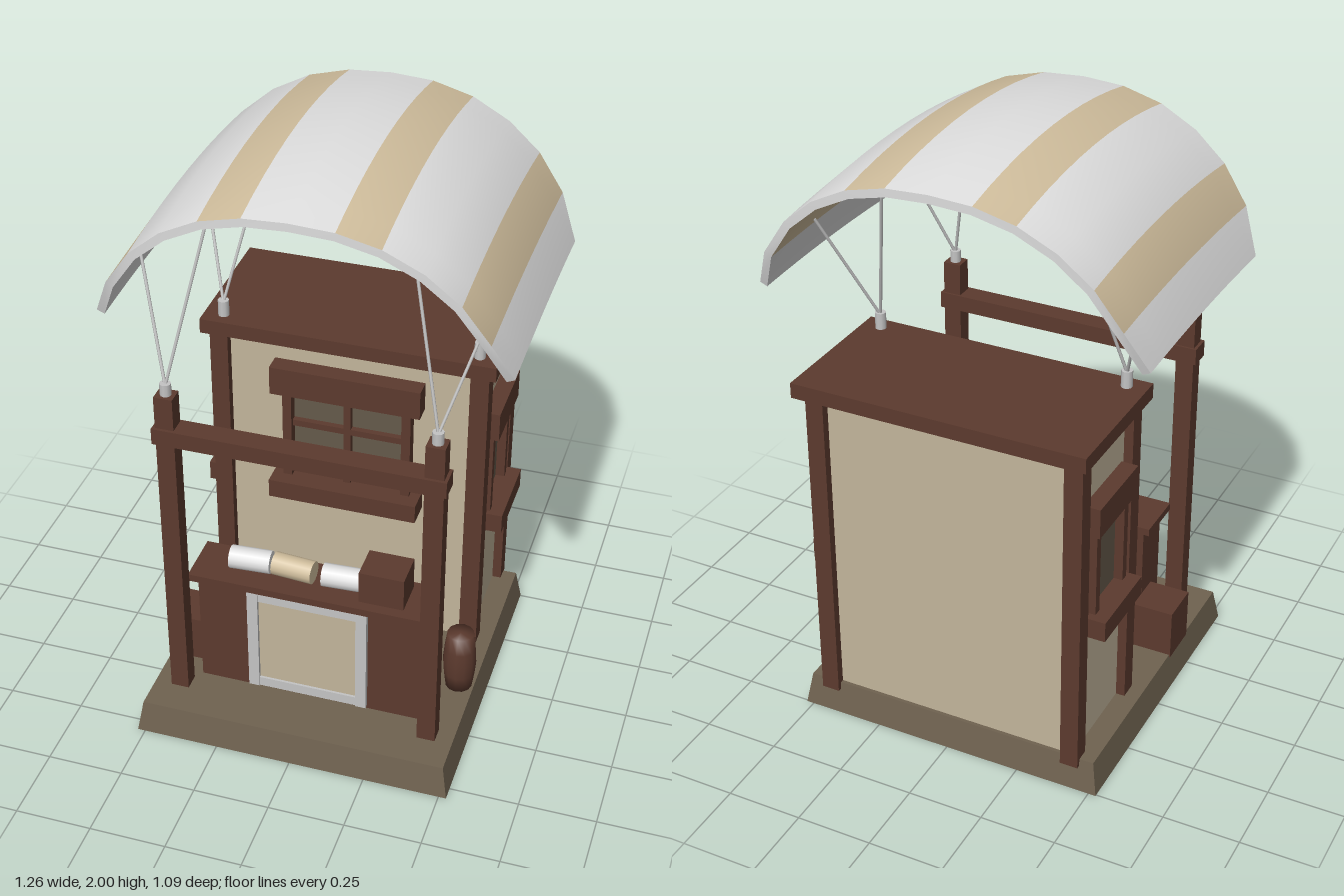
import * as THREE from 'three';

const mat = (name, color, side = THREE.FrontSide) => {
  const m = new THREE.MeshStandardMaterial({ color, side });
  m.name = name;
  return m;
};

export function createModel() {
  const wood = mat('dark wood', 0x5c3a2e);
  const stone = mat('base stone', 0x6f6250);
  const plaster = mat('plaster', 0xc2b59b);
  const shade = mat('window shade', 0x655a4a);
  const white = mat('white cloth', 0xdedede, THREE.DoubleSide);
  const tan = mat('tan cloth', 0xcfbd9c, THREE.DoubleSide);
  const metal = mat('light trim', 0xc4c4c4);

  const root = new THREE.Group();
  root.name = 'marketStall';
  const add = (name, geo, material, parent = root) => {
    const mesh = new THREE.Mesh(geo, material);
    mesh.name = name;
    parent.add(mesh);
    return mesh;
  };
  // box given by its [min, max] on every axis
  const box = (name, material, [x0, x1], [y0, y1], [z0, z1], parent = root) => {
    const m = add(name, new THREE.BoxGeometry(x1 - x0, y1 - y0, z1 - z0), material, parent);
    m.position.set((x0 + x1) / 2, (y0 + y1) / 2, (z0 + z1) / 2);
    return m;
  };
  // thin round rod between two points
  const rod = (name, a, b, r, material) => {
    const d = b.clone().sub(a);
    const m = add(name, new THREE.CylinderGeometry(r, r, d.length(), 6), material);
    m.position.copy(a).add(b).multiplyScalar(0.5);
    m.quaternion.setFromUnitVectors(new THREE.Vector3(0, 1, 0), d.normalize());
  };

  // tapered base
  let baseGeo = new THREE.BoxGeometry(1.05, 0.11, 1.05);
  const bp = baseGeo.attributes.position;
  for (let i = 0; i < bp.count; i++) {
    if (bp.getY(i) > 0) bp.setXYZ(i, bp.getX(i) * 0.965, bp.getY(i), bp.getZ(i) * 0.965);
  }
  baseGeo.computeVertexNormals();
  add('base', baseGeo, stone).position.set(0, 0.055, 0.02);

  // hut
  box('hutWalls', plaster, [-0.43, 0.43], [0.1, 1.19], [-0.475, -0.11]);
  box('hutRoof', wood, [-0.485, 0.485], [1.19, 1.24], [-0.54, -0.06]);
  box('frontBeam', wood, [-0.46, 0.46], [1.09, 1.145], [0.355, 0.428]);

  // posts, caps and canopy ropes on both sides
  for (const s of [-1, 1]) {
    const span = (a, b) => (s > 0 ? [a, b] : [-b, -a]);
    box('frontPost', wood, span(0.39, 0.45), [0.1, 1.255], [0.362, 0.418]);
    box('hutFrontPost', wood, span(0.4, 0.46), [0.1, 1.19], [-0.14, -0.08]);
    box('hutBackPost', wood, span(0.4, 0.46), [0.085, 1.19], [-0.503, -0.445]);
    for (const [z, y, za, zb] of [[0.39, 1.25, 0.25, 0.265], [-0.11, 1.235, -0.28, -0.29]]) {
      const cap = add('ropeCap', new THREE.CylinderGeometry(0.018, 0.018, 1.295 - y, 10), metal);
      cap.position.set(s * 0.42, (1.295 + y) / 2, z);
      const foot = new THREE.Vector3(s * 0.42, 1.285, z);
      rod('outerRope', foot, new THREE.Vector3(s * 0.535, 1.66, za), 0.005, metal);
      rod('innerRope', foot, new THREE.Vector3(s * 0.287, 1.9, zb), 0.005, metal);
    }

    // side window
    const win = new THREE.Group();
    win.name = 'sideWindow';
    root.add(win);
    box('sidePane', shade, span(0.43, 0.435), [0.6, 0.92], [-0.38, -0.19], win);
    box('sideVisor', wood, span(0.42, 0.485), [0.905, 1.005], [-0.43, -0.155], win);
    box('sideSill', wood, span(0.42, 0.51), [0.54, 0.608], [-0.43, -0.155], win);
    for (const z of [-0.187, -0.388]) {
      box('sideFrame', wood, span(0.42, 0.465), [0.6, 0.91], [z - 0.014, z + 0.014], win);
    }
  }

  // front window
  const win = new THREE.Group();
  win.name = 'frontWindow';
  root.add(win);
  box('frontPane', shade, [-0.19, 0.19], [0.68, 1.02], [-0.11, -0.105], win);
  box('frontVisor', wood, [-0.25, 0.25], [1.01, 1.11], [-0.115, -0.048], win);
  box('frontSill', wood, [-0.25, 0.25], [0.62, 0.685], [-0.115, -0.02], win);
  box('verticalBar', wood, [-0.012, 0.012], [0.68, 1.01], [-0.105, -0.082], win);
  box('horizontalBar', wood, [-0.19, 0.19], [0.875, 0.897], [-0.105, -0.085], win);
  for (const x of [-0.2, 0.2]) {
    box('windowFrame', wood, [x - 0.015, x + 0.015], [0.68, 1.02], [-0.115, -0.07], win);
  }

  // counter with framed panel
  box('counterBody', wood, [-0.37, 0.37], [0.1, 0.52], [0.195, 0.335]);
  box('counterTop', wood, [-0.395, 0.395], [0.52, 0.545], [0.18, 0.36]);
  box('counterPanel', plaster, [-0.17, 0.17], [0.15, 0.49], [0.33, 0.342]);
  for (const s of [-1, 1]) {
    box('panelStile', metal, [s * 0.182 - 0.018, s * 0.182 + 0.018], [0.125, 0.515], [0.33, 0.354]);
    const y = 0.32 + s * 0.178;
    box('panelRail', metal, [-0.165, 0.165], [y - 0.017, y + 0.017], [0.33, 0.35]);
  }

  // goods on the counter
  [[-0.21, white, 0.06], [-0.065, tan, -0.08], [0.1, white, 0.05]].forEach(([x, m, turn]) => {
    const roll = add('clothRoll', new THREE.CylinderGeometry(0.038, 0.038, 0.135, 14), m);
    roll.rotation.set(0, turn, Math.PI / 2);
    roll.position.set(x, 0.583, 0.27);
  });
  box('counterBox', wood, [0.165, 0.312], [0.545, 0.66], [0.205, 0.325]);

  // crate and barrel beside the counter
  box('crate', wood, [-0.51, -0.372], [0.1, 0.275], [0.125, 0.27]);
  const staves = [[0, 0], [0.044, 0], [0.052, 0.06], [0.056, 0.11], [0.052, 0.16], [0.044, 0.22], [0, 0.22]];
  add('barrel', new THREE.LatheGeometry(staves.map(p => new THREE.Vector2(...p)), 12), wood)
    .position.set(0.455, 0.11, 0.13);

  // canopy: half arch as [x, crown height, drop at front and back, half depth]
  const half = [
    [0, 2, 0.055, 0.505], [0.135, 1.99, 0.053, 0.503], [0.265, 1.952, 0.048, 0.498],
    [0.385, 1.882, 0.04, 0.49], [0.487, 1.785, 0.03, 0.48], [0.57, 1.655, 0.018, 0.465],
    [0.63, 1.515, 0.012, 0.41],
  ];
  const arch = [...half.slice(1).reverse().map(([x, ...r]) => [-x, ...r]), ...half];
  const N = arch.length - 1, M = 10, T = 0.026;
  const point = (i, j, inner) => {
    const [x, y, drop, depth] = arch[i];
    const v = 2 * j / M - 1;
    const a = arch[Math.max(i - 1, 0)], b = arch[Math.min(i + 1, N)];
    const n = new THREE.Vector2(a[1] - b[1], b[0] - a[0]).normalize().multiplyScalar(inner ? T : 0);
    return [x - n.x, y - drop * v * v - n.y, -0.036 + v * depth];
  };
  // grid of points, one material group for each strip across the arch
  const sheet = (nu, nv, fn, flip, stripe) => {
    const pos = [], idx = [], geo = new THREE.BufferGeometry();
    for (let i = 0; i <= nu; i++) for (let j = 0; j <= nv; j++) pos.push(...fn(i, j));
    for (let i = 0; i < nu; i++) {
      geo.addGroup(idx.length, nv * 6, stripe(i));
      for (let j = 0; j < nv; j++) {
        const a = i * (nv + 1) + j, b = a + 1, c = a + nv + 1, d = c + 1;
        idx.push(...(flip ? [a, c, b, b, c, d] : [a, b, c, b, d, c]));
      }
    }
    geo.setAttribute('position', new THREE.Float32BufferAttribute(pos, 3));
    geo.setIndex(idx);
    geo.computeVertexNormals();
    return geo;
  };
  const stripe = i => ([1, 4, 7, 10].includes(i) ? 1 : 0);
  const cloth = [white, tan];
  add('canopyTop', sheet(N, M, (i, j) => point(i, j, false), false, stripe), cloth);
  add('canopyUnderside', sheet(N, M, (i, j) => point(i, j, true), true, stripe), cloth);
  for (const j of [0, M]) {
    add('canopyRim', sheet(N, 1, (i, k) => point(i, j, k === 1), j === 0, () => 0), cloth);
  }
  for (const i of [0, N]) {
    add('canopyHem', sheet(M, 1, (j, k) => point(i, j, k === 1), i === N, () => 0), cloth);
  }
  return root;
}
